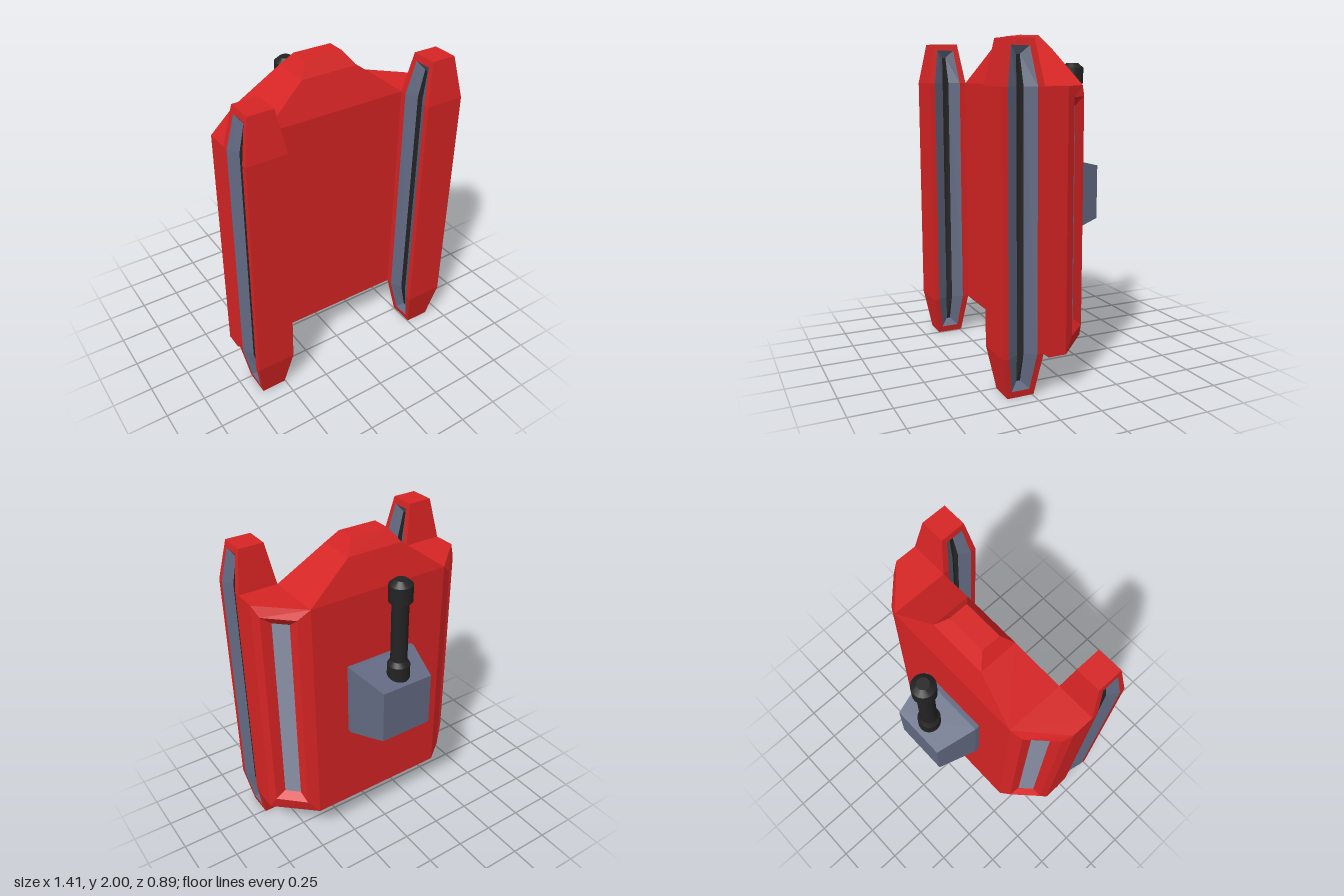
import * as THREE from 'three';
import { toCreasedNormals } from 'three/addons/utils/BufferGeometryUtils.js';

const mat = (name, color) => {
  const m = new THREE.MeshStandardMaterial({ color });
  m.name = name;
  return m;
};

// Flat-shaded geometry from convex polygons, optionally mirrored in x and shifted
function polyGeometry(polys, mirror = 1, offset = 0) {
  const pos = [];
  for (const poly of polys) {
    const p = poly.map(([x, y, z]) => [x * mirror + offset, y, z]);
    if (mirror < 0) p.reverse();
    for (let i = 1; i < p.length - 1; i++) pos.push(...p[0], ...p[i], ...p[i + 1]);
  }
  const g = new THREE.BufferGeometry();
  g.setAttribute('position', new THREE.Float32BufferAttribute(pos, 3));
  g.computeVertexNormals();
  return g;
}

// Closed band of quads between two matching loops
const band = (a, b) => a.map((p, i) => {
  const j = (i + 1) % a.length;
  return [p, a[j], b[j], b[i]];
});

// Horizontal rectangle, counter-clockwise from above
const rect = (hx, zBack, zFront, y) =>
  [[-hx, y, zFront], [hx, y, zFront], [hx, y, zBack], [-hx, y, zBack]];

// Upright rectangle between two plan points
const upright = ([ax, az], [bx, bz], y0, y1) =>
  [[ax, y0, az], [bx, y0, bz], [bx, y1, bz], [ax, y1, az]];

// Eight-point side outline of a leg, following its tapered ends
function legOutline(zFront, zBack, tipFront, tipBack, y0, depth) {
  const low = 0.25, high = 1.71, top = 1.96 - y0;
  return [[y0, tipFront], [y0, tipBack], [low, zBack], [high, zBack],
    [top, tipBack], [top, tipFront], [high, zFront], [low, zFront]].map(([y, z]) => {
    const over = Math.max(low - y, y - high, 0) / 0.25;
    return [0.1225 - 0.045 * over - depth, y, z];
  });
}

export function createModel() {
  const group = new THREE.Group();
  const red = mat('red', 0xd62424);
  const grey = mat('slate grey', 0x626a82);
  const pale = mat('pale grey', 0x8a8fa6);
  const black = mat('black', 0x232323);
  const add = (name, geometry, material) => {
    const m = new THREE.Mesh(geometry, material);
    m.name = name;
    group.add(m);
  };

  // Main body with a stepped, sloping crown
  const W = 0.705, C = 0.46, B = -0.165, low = 0.22, high = 1.71;
  const crown = [rect(C, B, 0.2, high), rect(0.18, -0.11, 0.13, 1.92), rect(0.122, -0.05, 0.07, 2)];
  const base = [[-W, 0.17], [W, 0.17], [W, 0.06], [C, B], [-C, B], [-W, 0.06]];
  add('body', polyGeometry([
    upright([-W, 0.2], [W, 0.2], 0.25, high),
    [[-W, low, 0.17], [W, low, 0.17], [W, 0.25, 0.2], [-W, 0.25, 0.2]],
    upright([C, B], [-C, B], low, high),
    base.map(([x, z]) => [x, low, z]).reverse(),
    ...band(crown[0], crown[1]), ...band(crown[1], crown[2]), crown[2],
  ]), red);

  // Bulging rear corners, each with a recessed panel
  const rings = [
    upright([W, 0.06], [C, B], low, high),
    upright([0.68, 0.01], [0.53, -0.135], 0.31, 1.65),
    upright([0.616, 0], [0.542, -0.071], 0.36, 1.6),
  ];
  const corner = [
    [[C, high, 0.2], [W, high, 0.2], [W, high, 0.06], [C, high, B]],
    [[W, low, 0.17], [W, low, 0.06], [W, high, 0.06], [W, high, 0.2], [W, 0.25, 0.2]],
    ...band(rings[0], rings[1]), ...band(rings[1], rings[2]),
  ];

  // Front legs, grooved on both sides
  const outer = legOutline(0.445, 0.2, 0.4, 0.24, 0, 0);
  const rim = legOutline(0.41, 0.24, 0.378, 0.27, 0.04, 0);
  const floor = legOutline(0.345, 0.305, 0.335, 0.313, 0.085, 0.04);
  const opposite = outer.map(([x, y, z]) => [-x, y, z]);

  for (const [side, s] of [['left', 1], ['right', -1]]) {
    add(side + 'Corner', polyGeometry(corner, s), red);
    add(side + 'CornerPanel', polyGeometry([rings[2]], s), pale);
    const x = 0.5825 * s;
    add(side + 'Leg', polyGeometry(band(opposite, outer), 1, x), red);
    for (const [face, t] of [['Outer', s], ['Inner', -s]]) {
      add(side + face + 'LegRim', polyGeometry(band(outer, rim), t, x), red);
      add(side + face + 'GrooveWalls', polyGeometry(band(rim, floor), t, x), grey);
      add(side + face + 'GrooveFloor', polyGeometry([floor], t, x), black);
    }
  }

  // Tapered rear housing, lofted backwards from the body
  const slice = (hx, y0, y1, z) => [[hx, y0, z], [-hx, y0, z], [-hx, y1, z], [hx, y1, z]];
  const slices = [slice(0.232, 0.79, 1.26, B), slice(0.232, 0.79, 1.26, -0.195), slice(0.17, 0.86, 1.2, -0.445)];
  add('rearHousing', polyGeometry([
    ...band(slices[0], slices[1]), ...band(slices[1], slices[2]), slices[2],
  ]), grey);

  // Antenna with collar and bevelled cap
  const profile = [[0, 1.19], [0.068, 1.19], [0.068, 1.3], [0.05, 1.33], [0.05, 1.71],
    [0.07, 1.71], [0.07, 1.81], [0.036, 1.84], [0, 1.84]].map(([r, y]) => new THREE.Vector2(r, y));
  const antenna = toCreasedNormals(new THREE.LatheGeometry(profile, 24), 0.4);
  antenna.translate(0, 0, -0.35);
  add('antenna', antenna, black);

  return group;
}
